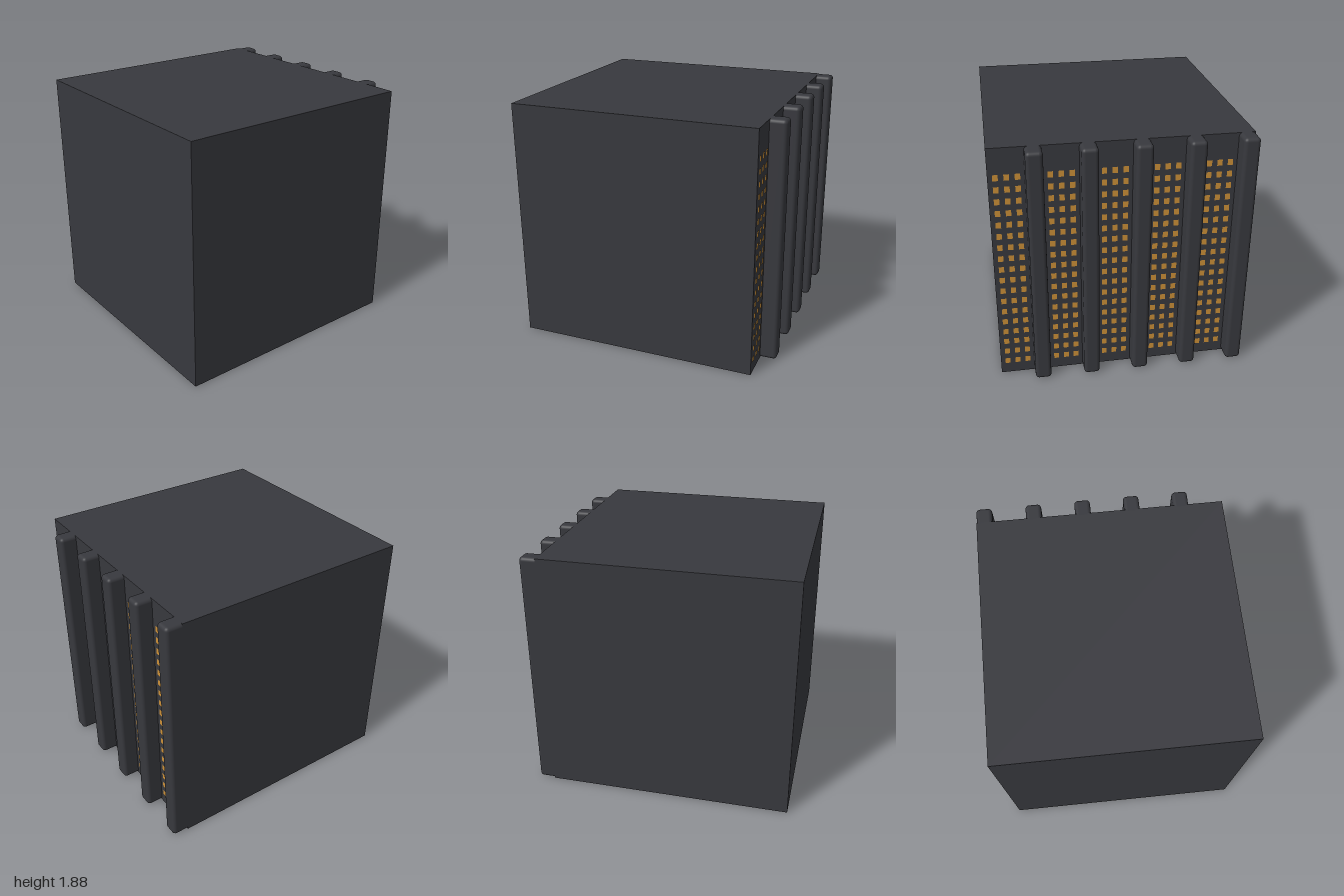
import * as THREE from 'three';
import { mergeGeometries } from 'three/addons/utils/BufferGeometryUtils.js';
import { RoundedBoxGeometry } from 'three/addons/geometries/RoundedBoxGeometry.js';

const SIZE = 1.875, HALF = SIZE / 2, WALL_Z = -0.875;
const BAYS = 5, PITCH = SIZE / BAYS, RIB_W = 0.12;
const ROWS = 18, COLS = 3;

export function createModel() {
  const model = new THREE.Group();
  model.name = 'buildingBlock';
  const dark = new THREE.MeshStandardMaterial({ color: 0x38393e });
  const amber = new THREE.MeshStandardMaterial({ color: 0xcc9038 });

  const add = (name, geometry, material, x = 0, y = 0, z = 0) => {
    const mesh = new THREE.Mesh(geometry, material);
    mesh.name = name;
    mesh.position.set(x, y, z);
    model.add(mesh);
  };

  // Main cube
  add('body', new THREE.BoxGeometry(SIZE, SIZE, SIZE), dark, 0, HALF, WALL_Z + HALF);

  // Rounded vertical ribs on the back wall, their inner ends sunk into the cube
  const ribDepth = 0.165;
  const ribGeometry = new RoundedBoxGeometry(RIB_W, SIZE, ribDepth, 3, 0.028);
  for (let bay = 0; bay < BAYS; bay++) {
    const x = -HALF + bay * PITCH + RIB_W / 2;
    add('rib', ribGeometry, dark, x, HALF, -1 + ribDepth / 2);
  }

  // Window grid in each bay between the ribs
  for (let bay = 0; bay < BAYS; bay++) {
    const panes = [];
    const edge = -HALF + (bay + 1) * PITCH;
    for (let c = 0; c < COLS; c++) {
      for (let r = 0; r < ROWS; r++) {
        const pane = new THREE.PlaneGeometry(0.038, 0.046);
        pane.rotateY(Math.PI);
        pane.translate(edge - 0.053 - c * 0.076, 0.11 + r * 0.091, WALL_Z - 0.003);
        panes.push(pane);
      }
    }
    add('windows', mergeGeometries(panes), amber);
  }
  return model;
}
